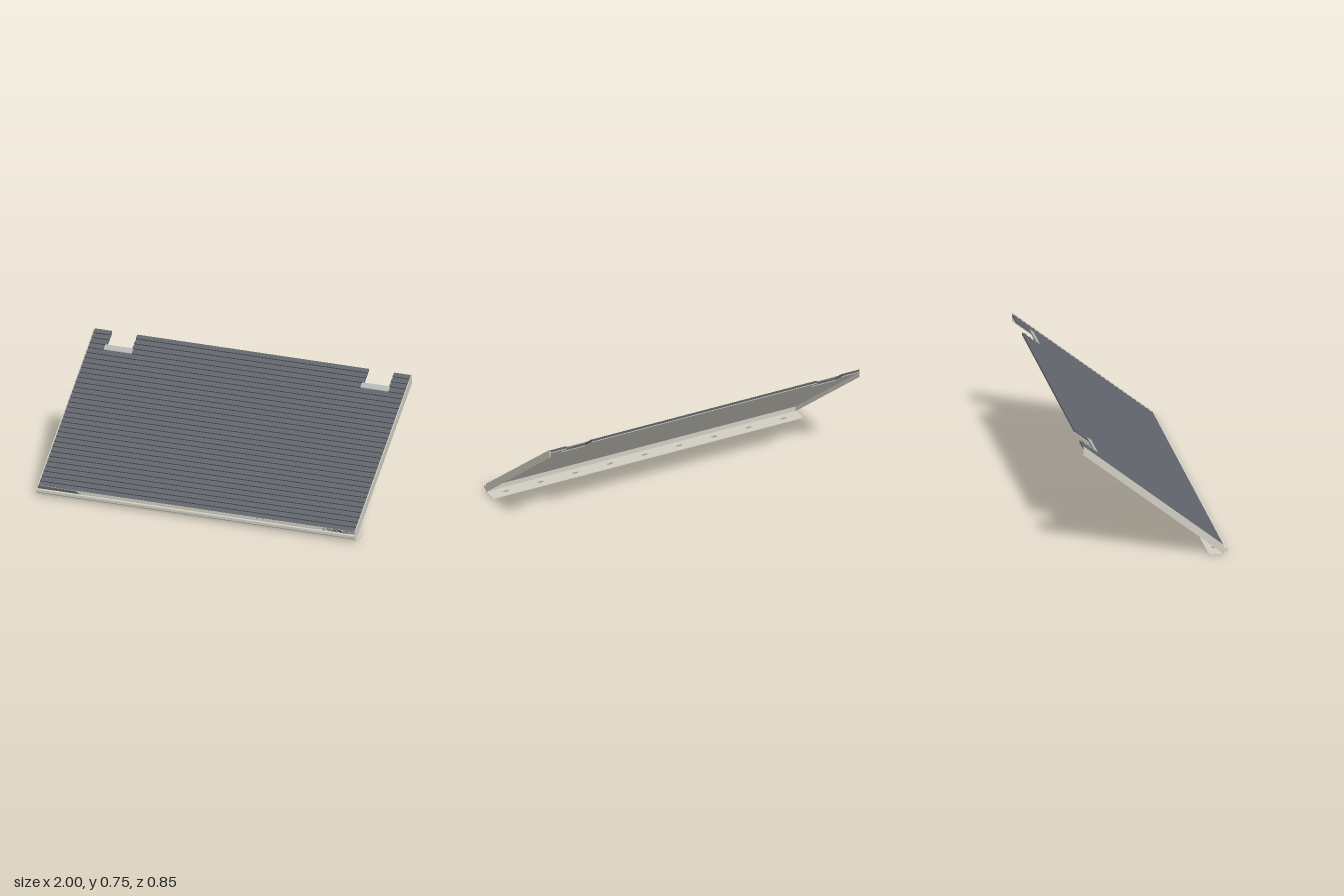
import * as THREE from 'three';

const mat = (name, color) => {
  const m = new THREE.MeshStandardMaterial({ color });
  m.name = name;
  return m;
};

const FRONT = 0.405, BACK = -0.425, NOTCH_Z = -0.335;
const SLOPE = 0.695 / 0.83;
const topY = (z) => 0.06 + (FRONT - z) * SLOPE; // sloping top line
const SLATS = 32;

export function createModel() {
  const group = new THREE.Group();
  group.name = 'slattedRamp';
  const slatGrey = mat('slat grey', 0x60656b);
  const beige = mat('frame beige', 0xd0cec3);
  const paleGrey = mat('trim grey', 0xb4b6b6);

  // Extrude a [z, y] profile along x
  function profile(name, points, x0, x1, material) {
    const shape = new THREE.Shape(points.map(([z, y]) => new THREE.Vector2(-z, y)));
    const geo = new THREE.ExtrudeGeometry(shape, { depth: x1 - x0, bevelEnabled: false });
    geo.rotateY(Math.PI / 2).translate(x0, 0, 0);
    const mesh = new THREE.Mesh(geo, material);
    mesh.name = name;
    group.add(mesh);
  }

  // Sloping band between two depths below the top line
  const band = (d0, d1, zEnd) => [
    [FRONT, topY(FRONT) - d1], [zEnd, topY(zEnd) - d1],
    [zEnd, topY(zEnd) - d0], [FRONT, topY(FRONT) - d0],
  ];

  // Overlapping slats: every lower edge stands proud of the slat below it
  const len = Math.hypot(1, SLOPE), step = 0.009;
  const dz = step * SLOPE / len, dy = step / len;
  function slats(zEnd) {
    const pts = [[zEnd, topY(zEnd) - 0.02], [FRONT, topY(FRONT) - 0.02]];
    const pitch = (FRONT - BACK) / SLATS;
    for (let i = 0; i < SLATS; i++) {
      const z = FRONT - i * pitch;
      if (z - dz <= zEnd) break;
      const y = topY(z) - 0.001;
      if (i > 0) pts.push([z - dz, y - dy]);
      pts.push([z, y]);
    }
    pts.push([zEnd, topY(zEnd) - 0.008]);
    return pts.reverse();
  }

  // Panel strips, shorter where the two rear notches are cut out
  const xs = [-0.995, -0.887, -0.728, 0.728, 0.887, 0.995];
  for (let i = 0; i < 5; i++) {
    const zEnd = i % 2 ? NOTCH_Z : BACK;
    profile('slatPanel', slats(zEnd), xs[i], xs[i + 1], slatGrey);
    profile('backingSheet', band(0.02, 0.025, zEnd), xs[i], xs[i + 1], beige);
  }

  for (const s of [-1, 1]) {
    // Side skirt
    const x = s * 0.9975;
    profile('sideSkirt', band(0, 0.055, BACK), x - 0.0025, x + 0.0025, beige);

    // Trim plate along the notch edge
    const c = s * 0.8075;
    profile('notchTrim', [
      [-0.32, topY(-0.32) - 0.003], [-0.345, topY(-0.345) - 0.003],
      [-0.345, topY(-0.345) + 0.002], [-0.32, topY(-0.32) + 0.002],
    ], c - 0.088, c + 0.088, paleGrey);
  }

  // Front wall and nose bar with a chamfered lower corner
  profile('frontWall', [[0.405, 0.005], [0.4, 0.005], [0.4, 0.06], [0.405, 0.06]], -1, 1, beige);
  profile('noseBar', [
    [0.404, 0.021], [0.404, 0.042], [0.427, 0.042], [0.427, 0.027], [0.421, 0.021],
  ], -1, 1, beige);

  // Foot flange with a row of bolt slots
  const foot = new THREE.Shape([[-1, -0.405], [1, -0.405], [1, -0.315], [-1, -0.315]]
    .map(([x, y]) => new THREE.Vector2(x, y)));
  for (let i = -4; i <= 4; i++) {
    const x = i * 0.2235, w = 0.017, h = 0.009;
    foot.holes.push(new THREE.Path([[x - w, -0.36 - h], [x - w, -0.36 + h], [x + w, -0.36 + h], [x + w, -0.36 - h]]
      .map(([px, py]) => new THREE.Vector2(px, py))));
  }
  const footGeo = new THREE.ExtrudeGeometry(foot, { depth: 0.004, bevelEnabled: false });
  footGeo.rotateX(-Math.PI / 2).translate(0, 0.005, 0);
  const flange = new THREE.Mesh(footGeo, beige);
  flange.name = 'footFlange';
  group.add(flange);

  // Stand the model on the ground
  group.children.forEach((m) => m.geometry.translate(0, -0.005, 0));
  return group;
}
